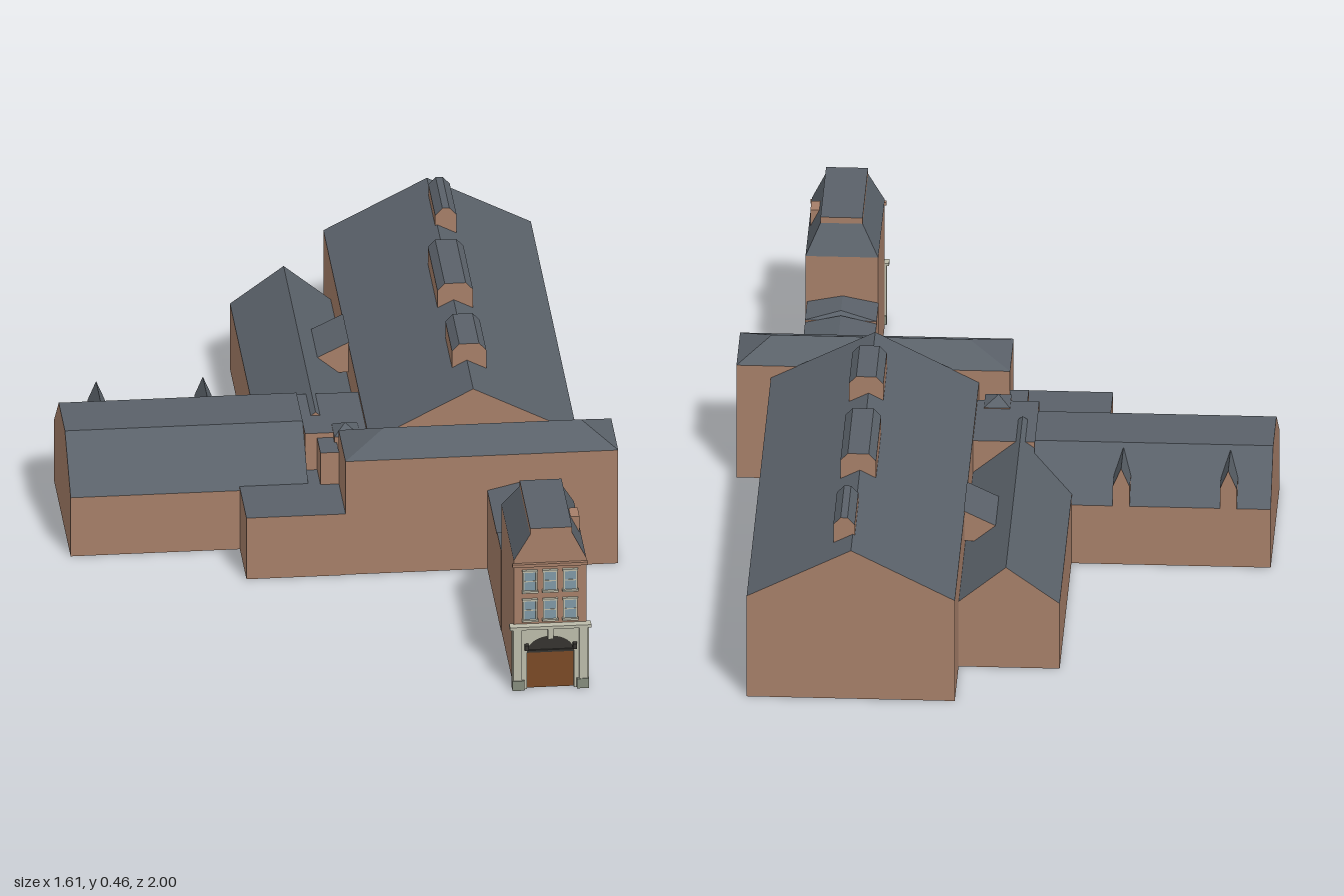
import * as THREE from 'three';

const mat = (color) => new THREE.MeshStandardMaterial({ color, side: THREE.DoubleSide, flatShading: true });
const brick = mat(0xa67f69), slate = mat(0x5a6169), stone = mat(0xbcbbaa);
const wood = mat(0x7a4a26), dark = mat(0x35332f), glass = mat(0x7f98a5), plinth = mat(0x858c7c);

function surface(points, material, name) {
  const g = new THREE.BufferGeometry();
  g.setAttribute('position', new THREE.Float32BufferAttribute(points, 3));
  g.computeVertexNormals();
  const m = new THREE.Mesh(g, material);
  m.name = name;
  return m;
}

// Open-bottomed building mass from stacked rectangles [x0, x1, z0, z1, y].
// Upright faces become brick walls, leaning and level ones slate roof.
function building(name, ...rings) {
  const walls = [], roof = [];
  const corners = ([x0, x1, z0, z1, y]) => [[x0, y, z1], [x1, y, z1], [x1, y, z0], [x0, y, z0]];
  const quad = (out, a, b, c, d) => out.push(...a, ...b, ...c, ...a, ...c, ...d);
  const side = [3, 1, 2, 0]; // ring entry that places each side
  for (let r = 0; r + 1 < rings.length; r++) {
    const lo = corners(rings[r]), hi = corners(rings[r + 1]);
    for (let i = 0; i < 4; i++) {
      const j = (i + 1) % 4;
      const upright = rings[r][side[i]] === rings[r + 1][side[i]];
      quad(upright ? walls : roof, lo[i], lo[j], hi[j], hi[i]);
    }
  }
  const top = rings[rings.length - 1];
  if (top[0] < top[1] && top[2] < top[3]) quad(roof, ...corners(top));
  const g = new THREE.Group();
  g.name = name;
  g.add(surface(walls, brick, name + 'Walls'));
  if (roof.length) g.add(surface(roof, slate, name + 'Roof'));
  return g;
}

// Gabled mass with its ridge along z at x = ridge
const gabled = (name, x0, x1, z0, z1, base, eave, top, ridge = (x0 + x1) / 2) =>
  building(name, [x0, x1, z0, z1, base], [x0, x1, z0, z1, eave], [ridge, ridge, z0, z1, top]);

function box(name, w, h, d, x, y, z, material) {
  const m = new THREE.Mesh(new THREE.BoxGeometry(w, h, d), material);
  m.name = name;
  m.position.set(x, y, z);
  return m;
}

// Stone gateway, sash windows and cornices on the tower front
function facade() {
  const g = new THREE.Group();
  g.name = 'gateFacade';
  const cx = 0.299, z = 1.138;

  const s = new THREE.Shape();
  s.moveTo(-0.095, 0); s.lineTo(-0.058, 0); s.lineTo(-0.058, 0.1);
  s.absellipse(0, 0.1, 0.058, 0.043, Math.PI, 0, true);
  s.lineTo(0.058, 0); s.lineTo(0.095, 0); s.lineTo(0.095, 0.165); s.lineTo(-0.095, 0.165);
  s.closePath();
  const arch = new THREE.Mesh(new THREE.ExtrudeGeometry(s, { depth: 0.014, bevelEnabled: false, curveSegments: 8 }), stone);
  arch.name = 'stoneArch';
  arch.position.set(cx, 0, z);
  g.add(arch);
  g.add(box('gate', 0.116, 0.1, 0.004, cx, 0.05, z + 0.003, wood));
  g.add(box('fanlight', 0.116, 0.045, 0.003, cx, 0.1225, z + 0.002, dark));
  g.add(box('gateRail', 0.116, 0.006, 0.008, cx, 0.1, z + 0.004, dark));
  g.add(box('cornice', 0.202, 0.008, 0.024, cx, 0.169, z + 0.008, stone));
  g.add(box('keystone', 0.014, 0.028, 0.02, cx, 0.151, z + 0.009, stone));
  for (const sx of [-1, 1]) {
    g.add(box('pilaster', 0.022, 0.14, 0.02, cx + sx * 0.082, 0.095, z + 0.009, stone));
    g.add(box('pilasterBase', 0.03, 0.026, 0.023, cx + sx * 0.08, 0.013, z + 0.01, plinth));
    g.add(box('lampBracket', 0.01, 0.014, 0.028, cx + sx * 0.06, 0.118, z + 0.012, dark));
  }

  // Two rows of three windows
  for (const y of [0.213, 0.292]) {
    for (const dx of [-0.05, 0, 0.05]) {
      const x = cx + dx;
      g.add(box('windowPane', 0.03, 0.05, 0.004, x, y, z + 0.004, glass));
      g.add(box('glazingBar', 0.03, 0.003, 0.006, x, y, z + 0.004, stone));
      g.add(box('windowSill', 0.04, 0.005, 0.012, x, y - 0.028, z + 0.006, stone));
      g.add(box('windowHead', 0.038, 0.005, 0.008, x, y + 0.027, z + 0.004, stone));
      for (const sx of [-1, 1]) g.add(box('windowJamb', 0.004, 0.054, 0.007, x + sx * 0.016, y, z + 0.004, stone));
    }
  }
  g.add(box('eavesBand', 0.188, 0.008, 0.01, cx, 0.336, z + 0.004, brick));
  return g;
}

export function createModel() {
  const model = new THREE.Group();
  model.name = 'hallComplex';
  // The plan is square to itself but turned on the ground
  const plan = new THREE.Group();
  plan.name = 'buildings';
  plan.rotation.y = 0.384;
  model.add(plan);

  // Great hall with three ridge lanterns
  plan.add(gabled('hall', -0.067, 0.448, -0.9, 0.293, 0, 0.278, 0.41, 0.19));
  for (const [x0, z0, z1] of [[0.185, -0.81, -0.635], [0.15, -0.46, -0.212], [0.153, -0.04, 0.13]]) {
    plan.add(building('ridgeLantern', [x0, 0.238, z0, z1, 0.385], [x0, 0.238, z0, z1, 0.436],
      [x0 + 0.018, 0.22, z0, z1, 0.455]));
  }

  // Side aisle and the small lean-to between it and the hall
  plan.add(gabled('aisle', -0.317, -0.067, -0.711, 0.115, 0, 0.18, 0.277, -0.184));
  plan.add(building('leanTo', [-0.155, -0.065, -0.419, -0.259, 0.2], [-0.155, -0.065, -0.419, -0.259, 0.238],
    [-0.065, -0.065, -0.419, -0.259, 0.282]));

  // Side wing with flat-topped roof and two dormers
  plan.add(building('wing', [-0.81, -0.22, -0.135, 0.3, 0], [-0.81, -0.22, -0.135, 0.3, 0.161],
    [-0.81, -0.22, -0.007, 0.152, 0.273]));
  for (const x of [-0.705, -0.44]) plan.add(gabled('dormer', x - 0.021, x + 0.021, -0.135, -0.02, 0.16, 0.215, 0.265));

  // Links where the wings meet
  plan.add(building('link', [-0.22, -0.067, -0.007, 0.215, 0.1], [-0.22, -0.067, -0.007, 0.215, 0.268]));
  plan.add(building('linkStep', [-0.19, -0.144, 0.215, 0.3, 0.13], [-0.19, -0.144, 0.215, 0.3, 0.255]));
  plan.add(building('linkLantern', [-0.15, -0.085, 0.17, 0.245, 0.2], [-0.15, -0.085, 0.17, 0.245, 0.27],
    [-0.12, -0.12, 0.205, 0.205, 0.29]));
  plan.add(building('lowBlock', [-0.39, -0.144, 0.29, 0.47, 0], [-0.39, -0.144, 0.29, 0.47, 0.168]));
  plan.add(building('lowLink', [-0.22, -0.144, 0.2, 0.29, 0], [-0.22, -0.144, 0.2, 0.29, 0.168]));

  // Cross block with hipped roof
  plan.add(building('crossBlock', [-0.144, 0.533, 0.29, 0.468, 0], [-0.144, 0.533, 0.29, 0.468, 0.311],
    [-0.04, 0.45, 0.375, 0.375, 0.354]));

  // Entrance passage leading to the gate tower
  plan.add(gabled('passage', 0.208, 0.385, 0.46, 0.72, 0, 0.215, 0.236));
  plan.add(building('passageEnd', [0.208, 0.385, 0.72, 0.82, 0], [0.208, 0.385, 0.72, 0.82, 0.222],
    [0.297, 0.297, 0.74, 0.82, 0.24]));
  plan.add(building('gateTower', [0.209, 0.389, 0.82, 1.138, 0], [0.209, 0.389, 0.82, 1.138, 0.348],
    [0.25, 0.354, 0.865, 1.138, 0.418], [0.25, 0.354, 0.865, 1.138, 0.434]));
  plan.add(box('towerDormer', 0.03, 0.06, 0.05, 0.369, 0.372, 0.99, brick));
  plan.add(facade());
  return model;
}
